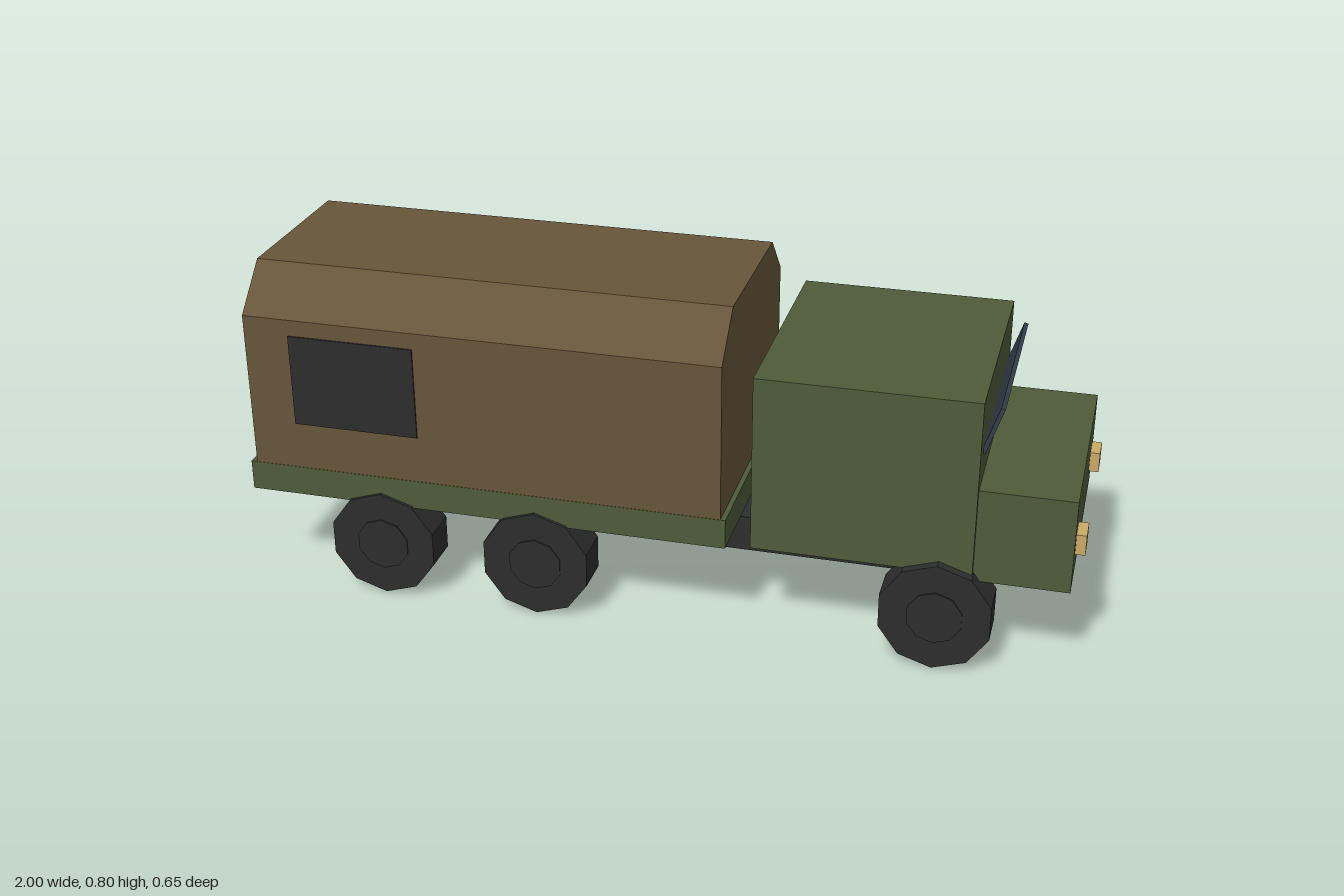
import * as THREE from 'three';

export function createModel() {
  const paint = (name, color) => {
    const m = new THREE.MeshStandardMaterial({ color });
    m.name = name;
    return m;
  };
  const green = paint('army green', 0x4f5b3a);
  const canvas = paint('brown canvas', 0x67563a);
  const dark = paint('dark rubber', 0x2d2d2d);
  const glass = paint('blue glass', 0x333d49);
  const amber = paint('amber lamp', 0xcbaa67);

  const truck = new THREE.Group();
  truck.name = 'truck';

  const add = (name, geometry, material, parent = truck) => {
    const mesh = new THREE.Mesh(geometry, material);
    mesh.name = name;
    parent.add(mesh);
    return mesh;
  };
  // Box given by its lower and upper bounds on each axis
  const box = (name, [x0, x1], [y0, y1], [z0, z1], material) => {
    const mesh = add(name, new THREE.BoxGeometry(x1 - x0, y1 - y0, z1 - z0), material);
    mesh.position.set((x0 + x1) / 2, (y0 + y1) / 2, (z0 + z1) / 2);
    return mesh;
  };

  // Frame and body; the truck drives towards +x
  box('chassis', [-0.66, 0.8], [0.152, 0.241], [-0.154, 0.154], dark);
  box('cargoBed', [-1, 0.187], [0.24, 0.314], [-0.312, 0.312], green);
  box('cab', [0.243, 0.757], [0.242, 0.675], [-0.297, 0.297], green);
  box('hood', [0.757, 0.977], [0.224, 0.455], [-0.284, 0.284], green);

  // Canvas cover: chamfered section extruded along the bed
  const section = new THREE.Shape([
    [-0.311, 0.314], [0.311, 0.314], [0.311, 0.7],
    [0.207, 0.804], [-0.207, 0.804], [-0.311, 0.7],
  ].map(([z, y]) => new THREE.Vector2(z, y)));
  const cover = add('canvasCover',
    new THREE.ExtrudeGeometry(section, { depth: 1.16, bevelEnabled: false }), canvas);
  cover.rotation.y = Math.PI / 2;
  cover.position.x = -0.985;

  // Side windows sit at different places on the two sides
  box('coverWindowFront', [-0.872, -0.562], [0.432, 0.66], [0.308, 0.315], dark);
  box('coverWindowBack', [-0.333, 0.03], [0.432, 0.66], [-0.315, -0.308], dark);

  // Windscreen leaning forward from the cab
  const windscreen = add('windscreen', new THREE.BoxGeometry(0.01, 0.121, 0.49), glass);
  windscreen.position.set(0.775, 0.585, 0);
  windscreen.rotation.z = -0.32;

  // Headlights
  for (const side of [-1, 1]) {
    const lamp = add('headlight', new THREE.BoxGeometry(0.026, 0.05, 0.063), amber);
    lamp.position.set(0.987, 0.325, side * 0.208);
  }

  // Ten-sided wheels with a slightly proud hub
  const drum = (radius, width) =>
    new THREE.CylinderGeometry(radius, radius, width, 10).rotateX(Math.PI / 2).toNonIndexed();
  const tyre = drum(0.135, 0.096);
  const hub = drum(0.066, 0.102);
  tyre.computeVertexNormals();
  hub.computeVertexNormals();
  for (const x of [-0.665, -0.277, 0.68]) {
    for (const side of [-1, 1]) {
      const wheel = new THREE.Group();
      wheel.name = 'wheel';
      wheel.position.set(x, 0.135, side * 0.272);
      add('tyre', tyre, dark, wheel);
      add('hub', hub, dark, wheel);
      truck.add(wheel);
    }
  }

  return truck;
}
